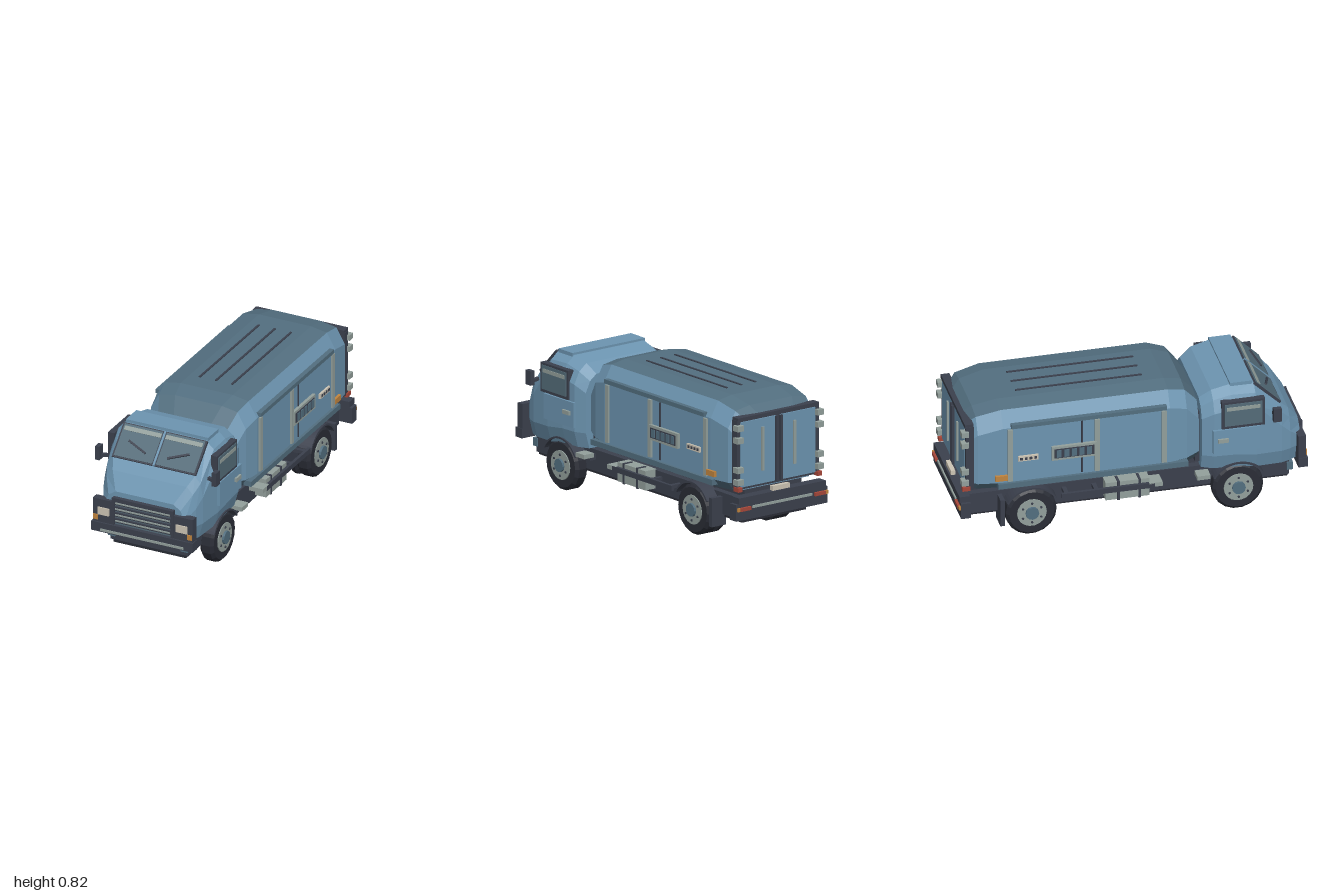
import * as THREE from 'three';

const mat = (name, color, extra = {}) => Object.assign(new THREE.MeshStandardMaterial({ color, flatShading: true, ...extra }), { name });

export function createModel() {
  const truck = new THREE.Group();
  truck.name = 'boxTruck';
  const blue = mat('body blue', 0x6d95b1);
  const slate = mat('roof slate blue', 0x536f80);
  const dark = mat('dark trim', 0x3b404d);
  const tyre = mat('tyre black', 0x2a2d36);
  const grey = mat('metal grey', 0x93a09c);
  const glass = mat('window glass', 0x546c79);
  const cream = mat('lamp cream', 0xcdc5b5);
  const orange = mat('indicator orange', 0xc2853f);
  const red = mat('tail lamp red', 0xa8483a);

  const add = (name, geo, material, parent = truck) => {
    const m = new THREE.Mesh(geo, material);
    m.name = name;
    parent.add(m);
    return m;
  };
  // Box given by its extents on each axis
  const box = (name, m, x0, x1, y0, y1, z0, z1, parent = truck) => {
    const b = add(name, new THREE.BoxGeometry(Math.abs(x1 - x0), Math.abs(y1 - y0), Math.abs(z1 - z0)), m, parent);
    b.position.set((x0 + x1) / 2, (y0 + y1) / 2, (z0 + z1) / 2);
    return b;
  };
  const sides = (fn) => [1, -1].forEach(fn);

  // Skin between mirrored cross-sections, ordered front to back; edges picks the strips
  const ring = ({ z, half }) => [...half, ...half.slice().reverse().map(([x, y]) => [-x, y])].map(([x, y]) => [x, y, z]);
  function loft(sections, edges, caps) {
    const rings = sections.map(ring), n = rings[0].length, p = [];
    for (let k = 0; k + 1 < rings.length; k++) {
      const a = rings[k], b = rings[k + 1];
      for (const i of edges) {
        const j = (i + 1) % n;
        p.push(...a[i], ...b[i], ...b[j], ...a[i], ...b[j], ...a[j]);
      }
    }
    if (caps) {
      const f = rings[0], r = rings[rings.length - 1];
      for (let i = 1; i + 1 < n; i++) p.push(...f[0], ...f[i], ...f[i + 1], ...r[0], ...r[i + 1], ...r[i]);
    }
    const g = new THREE.BufferGeometry();
    g.setAttribute('position', new THREE.Float32BufferAttribute(p, 3));
    g.computeVertexNormals();
    return g;
  }

  // Cargo body: z, half width, top, bottom
  const cargo = [
    [0.385, 0.265, 0.70, 0.33], [0.31, 0.295, 0.79, 0.315], [0.21, 0.312, 0.817, 0.31],
    [-0.74, 0.312, 0.817, 0.31], [-0.88, 0.3, 0.785, 0.315], [-0.92, 0.275, 0.745, 0.32],
  ].map(([z, w, t, b]) => ({
    z, half: [[w - 0.04, b], [w, b + 0.05], [w, t - 0.11], [w - 0.052, t - 0.017], [w - 0.15, t]],
  }));
  add('cargoSides', loft(cargo, [1, 2, 6, 7], true), blue);
  add('cargoRoof', loft(cargo, [3, 4, 5], false), slate);
  add('cargoSkirt', loft(cargo, [0, 8], false), slate);
  add('cargoFloor', loft(cargo, [9], false), tyre);
  for (const x of [-0.1, 0, 0.1]) box('roofRib', dark, x - 0.006, x + 0.006, 0.812, 0.822, -0.62, 0.1);

  // Cab: z, belt half width, roof half width, top, shoulder, belt, bottom
  const cab = [
    [0.965, 0.25, 0.18, 0.48, 0.45, 0.39, 0.25], [0.90, 0.288, 0.23, 0.572, 0.53, 0.45, 0.25],
    [0.85, 0.304, 0.255, 0.622, 0.58, 0.5, 0.25], [0.70, 0.325, 0.25, 0.77, 0.73, 0.66, 0.26],
    [0.56, 0.33, 0.245, 0.775, 0.735, 0.66, 0.28], [0.46, 0.325, 0.24, 0.75, 0.71, 0.64, 0.28],
    [0.395, 0.295, 0.22, 0.70, 0.665, 0.6, 0.28],
  ].map(([z, w, r, t, s, m, b]) => ({
    z, half: [[w - 0.025, b], [w, b + 0.09], [w, m], [w * 0.45 + r * 0.55 + 0.012, s], [r, t]],
  }));
  add('cab', loft(cab, [0, 1, 2, 3, 4, 5, 6, 7, 8], true), blue);
  add('cabFloor', loft(cab, [9], false), tyre);
  box('cabRoofPad', blue, -0.255, 0.255, 0.765, 0.787, 0.565, 0.69);
  box('cabToBodyLink', dark, -0.24, 0.24, 0.3, 0.62, 0.37, 0.41);

  // Windscreen, laid on the sloping cab front
  const screen = new THREE.Group();
  screen.name = 'windscreen';
  screen.position.set(0, 0.701, 0.779);
  screen.rotation.x = -0.79;
  truck.add(screen);
  sides((s) => {
    box('screenFrame', dark, s * 0.006, s * 0.26, -0.104, 0.104, -0.012, 0.003, screen);
    box('screenGlass', glass, s * 0.012, s * 0.25, -0.095, 0.098, 0, 0.006, screen);
    box('sunStrip', grey, s * 0.014, s * 0.242, 0.06, 0.085, 0.004, 0.009, screen);
    const wiper = box('wiper', dark, -0.065, 0.065, -0.006, 0.006, 0.006, 0.014, screen);
    wiper.position.set(s * 0.128, -0.022, 0.012);
    wiper.rotation.z = s * 0.4;
  });
  box('screenPillar', blue, -0.006, 0.006, -0.104, 0.104, -0.01, 0.008, screen);

  // Cab sides: window, door, mirror, step
  sides((s) => {
    box('sideWindowFrame', dark, s * 0.30, s * 0.338, 0.545, 0.713, 0.5, 0.745);
    box('sideWindow', glass, s * 0.334, s * 0.342, 0.562, 0.7, 0.515, 0.73);
    box('sideSunStrip', grey, s * 0.34, s * 0.345, 0.66, 0.682, 0.527, 0.718);
    box('doorPanel', blue, s * 0.31, s * 0.34, 0.395, 0.54, 0.45, 0.715);
    box('doorHandle', grey, s * 0.335, s * 0.353, 0.465, 0.488, 0.475, 0.535);
    const arm = box('mirrorArm', dark, -0.022, 0.022, -0.009, 0.009, -0.009, 0.009);
    arm.position.set(s * 0.333, 0.597, 0.8);
    arm.rotation.z = -s * 0.2;
    box('mirror', dark, s * 0.349, s * 0.376, 0.572, 0.655, 0.785, 0.83);
    box('cabStep', grey, s * 0.265, s * 0.335, 0.235, 0.26, 0.36, 0.435);
    box('cabStepBracket', dark, s * 0.22, s * 0.28, 0.215, 0.25, 0.375, 0.42);
  });

  // Grille, lamps and front bumper
  box('grillePanel', glass, -0.185, 0.185, 0.285, 0.448, 0.93, 0.975);
  for (let i = 0; i < 4; i++) {
    box('grilleSlat', dark, -0.178, 0.178, 0.299 + i * 0.036, 0.325 + i * 0.036, 0.96, 0.986);
    box('grilleSlatTrim', grey, -0.17, 0.17, 0.308 + i * 0.036, 0.316 + i * 0.036, 0.98, 0.991);
  }
  box('grilleTop', dark, -0.19, 0.19, 0.433, 0.45, 0.95, 0.99);
  sides((s) => {
    box('grillePost', dark, s * 0.176, s * 0.19, 0.285, 0.45, 0.95, 0.992);
    box('lampHousing', dark, s * 0.19, s * 0.31, 0.28, 0.422, 0.94, 0.985);
    box('headlamp', cream, s * 0.208, s * 0.278, 0.329, 0.374, 0.975, 0.992);
    box('frontIndicator', orange, s * 0.277, s * 0.306, 0.296, 0.326, 0.95, 0.992);
    box('towMount', slate, s * 0.205, s * 0.247, 0.178, 0.226, 0.89, 0.925);
  });
  box('frontBumper', dark, -0.315, 0.315, 0.226, 0.282, 0.94, 0.995);
  box('frontBumperStripe', grey, -0.258, 0.258, 0.233, 0.247, 0.99, 1.0);

  // Chassis
  box('chassis', dark, -0.24, 0.24, 0.148, 0.272, -0.925, 0.905);
  box('underTray', tyre, -0.225, 0.225, 0.13, 0.15, -0.91, 0.9);
  box('bodyMount', dark, -0.2, 0.2, 0.265, 0.32, -0.9, 0.38);
  sides((s) => {
    box('sideTank', grey, s * 0.23, s * 0.31, 0.165, 0.275, -0.155, 0.095);
    box('tankStep', grey, s * 0.23, s * 0.328, 0.225, 0.25, 0.09, 0.165);
    for (const z of [-0.09, 0.03]) box('tankStrap', dark, s * 0.25, s * 0.314, 0.16, 0.279, z, z + 0.014);
    box('sideGuard', dark, s * 0.31, s * 0.328, 0.22, 0.25, -0.41, 0.12);
    for (const z of [-0.39, -0.22]) box('guardBracket', dark, s * 0.23, s * 0.312, 0.225, 0.245, z, z + 0.025);
  });

  // Wheels: chamfered tyre, rim, hub and nuts
  const profile = [[0.085, -0.5], [0.128, -0.5], [0.145, -0.3], [0.145, 0.3], [0.128, 0.5], [0.085, 0.5]];
  const tyreGeo = (w) => new THREE.LatheGeometry(profile.map(([r, h]) => new THREE.Vector2(r, h * w)), 18).rotateZ(-Math.PI / 2);
  const disc = (name, m, r, x0, x1, parent, sideCount = 18) => {
    const d = add(name, new THREE.CylinderGeometry(r, r, x1 - x0, sideCount).rotateZ(-Math.PI / 2), m, parent);
    d.position.x = (x0 + x1) / 2;
    return d;
  };
  for (const [z, label] of [[0.6, 'frontWheel'], [-0.575, 'rearWheel']]) sides((s) => {
    const w = new THREE.Group();
    w.name = label;
    w.position.set(0, 0.147, z);
    if (s < 0) w.rotation.y = Math.PI;
    truck.add(w);
    add('tyre', tyreGeo(0.085), tyre, w).position.x = 0.267;
    disc('rimBack', dark, 0.09, 0.23, 0.3, w);
    disc('rim', grey, 0.084, 0.29, 0.314, w);
    disc('hub', slate, 0.038, 0.3, 0.327, w, 12);
    for (let i = 0; i < 6; i++) {
      const nut = disc('wheelNut', dark, 0.007, 0.31, 0.319, w, 6);
      nut.position.y = 0.06 * Math.cos(i * Math.PI / 3);
      nut.position.z = 0.06 * Math.sin(i * Math.PI / 3);
    }
    if (label === 'rearWheel') {
      add('innerTyre', tyreGeo(0.04), tyre, w).position.x = 0.198;
      disc('innerRim', dark, 0.09, 0.18, 0.216, w);
    }
    // Arched mudguard above the wheel
    const arch = new THREE.Shape();
    arch.absarc(0, 0, 0.162, 0.5, Math.PI - 0.5, false);
    arch.absarc(0, 0, 0.152, Math.PI - 0.5, 0.5, true);
    const guard = new THREE.ExtrudeGeometry(arch, { depth: 0.09, bevelEnabled: false, curveSegments: 10 });
    add('mudguard', guard.rotateY(Math.PI / 2).translate(0.23, 0, 0), dark, w);
  });
  sides((s) => box('mudflap', dark, s * 0.215, s * 0.315, 0.085, 0.25, -0.755, -0.73));

  // Cargo side fittings
  sides((s) => {
    box('upperRail', slate, s * 0.30, s * 0.328, 0.708, 0.732, -0.695, 0.19);
    box('lowerRail', slate, s * 0.28, s * 0.328, 0.33, 0.362, -0.77, 0.31);
    for (const z of [0.175, -0.205, -0.7]) box('sidePost', grey, s * 0.305, s * 0.324, 0.37, 0.7, z - 0.014, z + 0.014);
    box('sideSeam', dark, s * 0.305, s * 0.316, 0.37, 0.7, -0.295, -0.285);
    box('ventFrame', grey, s * 0.305, s * 0.33, 0.474, 0.56, -0.465, -0.21);
    box('ventInset', dark, s * 0.326, s * 0.333, 0.488, 0.546, -0.45, -0.225);
    for (let i = 0; i < 5; i++) box('ventSlat', slate, s * 0.33, s * 0.337, 0.494, 0.54, -0.44 + i * 0.043, -0.412 + i * 0.043);
    box('statusPanel', cream, s * 0.305, s * 0.324, 0.492, 0.523, -0.655, -0.54);
    for (let i = 0; i < 4; i++) box('statusButton', dark, s * 0.32, s * 0.327, 0.5, 0.515, -0.645 + i * 0.027, -0.631 + i * 0.027);
    box('sideMarker', orange, s * 0.29, s * 0.326, 0.38, 0.412, -0.785, -0.715);
  });

  // Rear doors
  box('rearFrame', dark, -0.278, 0.278, 0.33, 0.735, -0.935, -0.91);
  box('rearTopSill', dark, -0.285, 0.285, 0.722, 0.745, -0.95, -0.9);
  sides((s) => {
    box('rearDoor', blue, s * 0.014, s * 0.262, 0.345, 0.718, -0.947, -0.92);
    box('rearPost', dark, s * 0.268, s * 0.288, 0.34, 0.73, -0.945, -0.9);
    box('doorBar', grey, s * 0.105, s * 0.12, 0.42, 0.67, -0.957, -0.94);
    box('doorLock', dark, s * 0.01, s * 0.024, 0.345, 0.718, -0.96, -0.94);
    for (const y of [0.69, 0.62, 0.45, 0.38]) box('doorHinge', grey, s * 0.26, s * 0.304, y - 0.016, y + 0.016, -0.972, -0.93);
    box('tailLamp', red, s * 0.265, s * 0.295, 0.325, 0.35, -0.965, -0.92);
    box('bumperLamp', red, s * 0.225, s * 0.3, 0.222, 0.242, -0.995, -0.975);
    box('bumperIndicator', orange, s * 0.298, s * 0.317, 0.222, 0.242, -0.992, -0.972);
  });
  box('numberPlate', cream, -0.06, 0.06, 0.295, 0.325, -0.975, -0.95);
  box('rearStep', dark, -0.305, 0.305, 0.262, 0.298, -0.985, -0.925);
  box('rearBumper', dark, -0.322, 0.322, 0.167, 0.262, -0.98, -0.925);
  box('rearBumperStripe', grey, -0.21, 0.21, 0.228, 0.242, -0.988, -0.97);
  return truck;
}
